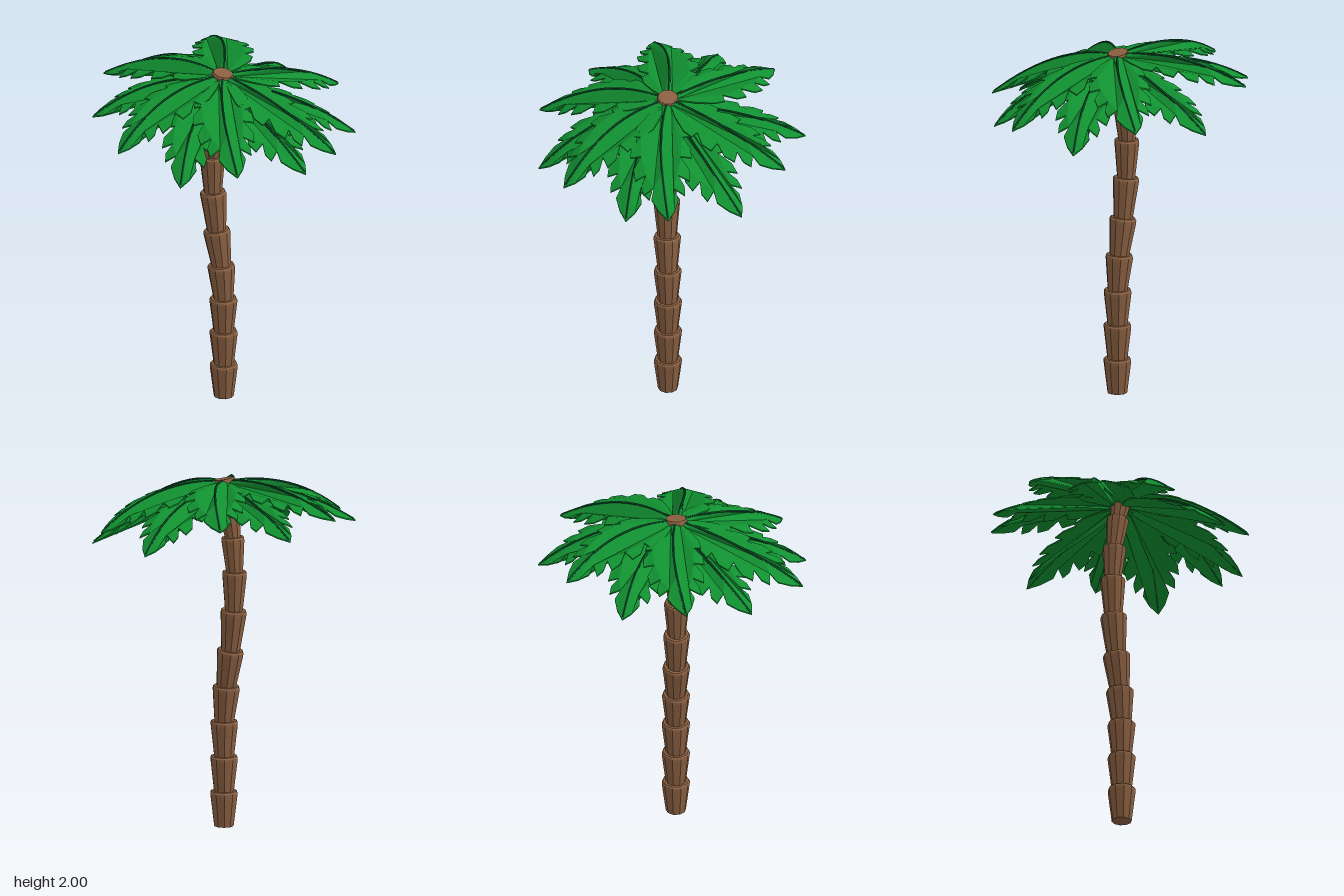
import * as THREE from 'three';

const mat = (name, color) => {
  const m = new THREE.MeshStandardMaterial({ color, flatShading: true });
  m.name = name;
  return m;
};

// Half of a leaf outline as [along 0..1, half width], with forward-pointing lobes
const OUTLINE = [
  [0.04, 0.025], [0.14, 0.09], [0.26, 0.145], [0.34, 0.155], [0.36, 0.115],
  [0.44, 0.165], [0.52, 0.17], [0.53, 0.11], [0.62, 0.155], [0.7, 0.15],
  [0.68, 0.09], [0.75, 0.12], [0.81, 0.115], [0.78, 0.055], [0.85, 0.075],
  [0.93, 0.045], [1, 0],
];
const BOW = 0.04, SAG = -0.33, FOLD = 0.3;
const HUB = { x: 0.003, z: 0.015 };

// Returns a function placing leaf coordinates (along, sideways, height) in the model
function leafBend(tipX, tipY, tipZ, rootY) {
  const dx = tipX - HUB.x, dz = tipZ - HUB.z;
  const length = Math.hypot(dx, dz), c = dx / length, s = dz / length;
  const rise = tipY - rootY - SAG;
  return (t, w, h) => {
    const side = w - BOW * Math.sin(Math.PI * t);
    return new THREE.Vector3(
      HUB.x + c * length * t + s * side,
      rootY + rise * t + SAG * t * t - FOLD * Math.abs(w) + h,
      HUB.z + s * length * t - c * side,
    );
  };
}

// One half blade: flat lobed plate bent onto the leaf curve
function bladeGeometry(bend, sign) {
  const pts = OUTLINE.map(([t, w]) => new THREE.Vector2(t, w * sign));
  for (let i = 9; i >= 0; i--) pts.push(new THREE.Vector2(i / 10, 0));
  const geo = new THREE.ExtrudeGeometry(new THREE.Shape(pts), { depth: 0.008, bevelEnabled: false });
  const p = geo.attributes.position;
  for (let i = 0; i < p.count; i++) {
    const v = bend(p.getX(i), p.getY(i), p.getZ(i) - 0.008);
    p.setXYZ(i, v.x, v.y, v.z);
  }
  geo.computeVertexNormals();
  return geo;
}

function makeLeaf(name, tip, rootY, leafMat, ribMat) {
  const leaf = new THREE.Group();
  leaf.name = name;
  const bend = leafBend(...tip, rootY);
  for (const sign of [1, -1]) {
    const blade = new THREE.Mesh(bladeGeometry(bend, sign), leafMat);
    blade.name = sign > 0 ? 'leafBladeLeft' : 'leafBladeRight';
    leaf.add(blade);
  }
  // Midrib showing on both faces of the leaf
  const path = [];
  for (let i = 0; i <= 10; i++) path.push(bend(i / 10 * 0.985, 0, -0.003));
  const rib = new THREE.Mesh(
    new THREE.TubeGeometry(new THREE.CatmullRomCurve3(path), 14, 0.007, 5), ribMat);
  rib.name = 'midrib';
  leaf.add(rib);
  return leaf;
}

export function createModel() {
  const bark = mat('bark brown', 0x8a6042);
  const green = mat('leaf green', 0x119131);
  const darkGreen = mat('midrib dark green', 0x0a4a28);
  const palm = new THREE.Group();
  palm.name = 'palmTree';

  // Trunk: stacked flared segments, [x, y, top radius] of each joint
  const joints = [
    [0.006, 0, 0], [0.006, 0.2, 0.078], [0.005, 0.4, 0.078], [0.004, 0.6, 0.078],
    [-0.01, 0.8, 0.077], [-0.038, 1.01, 0.076], [-0.06, 1.24, 0.074], [-0.065, 1.46, 0.07],
    [-0.052, 1.655, 0.066], [-0.025, 1.84, 0.062], [0.003, 1.98, 0.061],
  ];
  const trunk = new THREE.Group();
  trunk.name = 'trunk';
  for (let i = 1; i < joints.length; i++) {
    const [x0, y0] = joints[i - 1], [x1, y1, r] = joints[i];
    const axis = new THREE.Vector3(x1 - x0, y1 - y0, 0), h = axis.length();
    const profile = [[0, -0.01], [r * 0.72, -0.01], [r, h - 0.025], [r, h - 0.01], [r * 0.92, h], [0, h]]
      .map(([a, b]) => new THREE.Vector2(a, i === 1 ? Math.max(b, 0) : b));
    const segment = new THREE.Mesh(new THREE.LatheGeometry(profile, 10), bark);
    segment.name = 'trunkSegment' + i;
    segment.position.set(x0, y0, HUB.z);
    segment.quaternion.setFromUnitVectors(new THREE.Vector3(0, 1, 0), axis.normalize());
    trunk.add(segment);
  }
  palm.add(trunk);

  // Crown: two rings of six leaves, given by their tips
  const upper = [
    [-0.73, 1.835, 0.02], [-0.385, 1.85, -0.62], [0.42, 1.74, -0.6],
    [0.73, 1.66, 0.085], [0.385, 1.68, 0.635], [-0.32, 1.715, 0.7],
  ];
  const lower = [
    [-0.66, 1.775, -0.33], [0.03, 1.685, -0.75], [0.65, 1.6, -0.335],
    [0.655, 1.62, 0.315], [0.085, 1.605, 0.745], [-0.62, 1.75, 0.395],
  ];
  upper.forEach((tip, i) => palm.add(makeLeaf('upperLeaf' + (i + 1), tip, 1.965, green, darkGreen)));
  lower.forEach((tip, i) => palm.add(makeLeaf('lowerLeaf' + (i + 1), tip, 1.925, green, darkGreen)));
  return palm;
}
